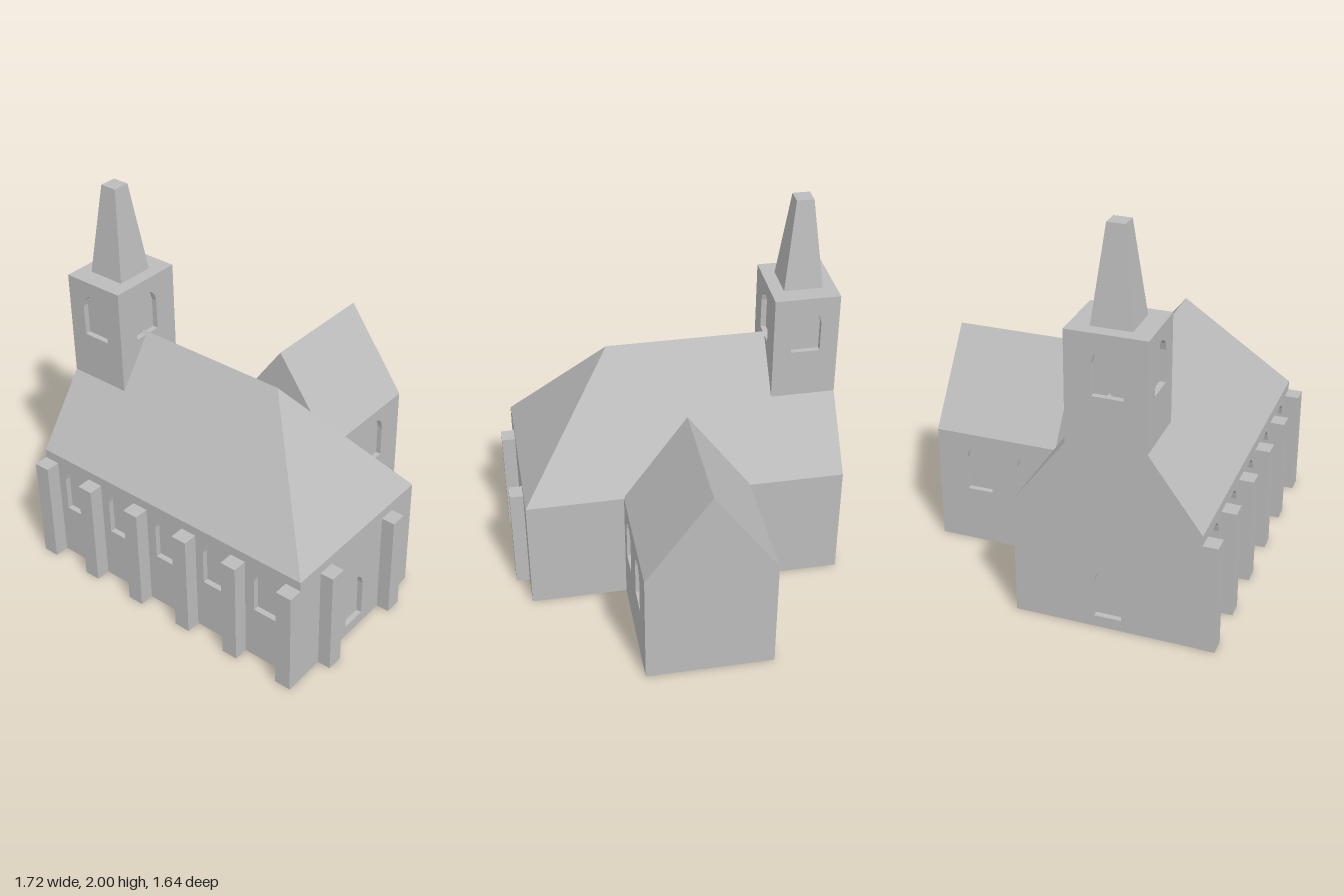
import * as THREE from 'three';

const stone = new THREE.MeshStandardMaterial({ color: 0xbcbcbc });
stone.name = 'grey stone';

const RECESS = 0.03;
// Nave, wing and tower extents
const N = { x0: -0.86, x1: 0.79, z0: -0.18, z1: 0.745, ridgeZ: 0.29, hipX: 0.3, ridge: 1.245 };
const W = { x0: -0.365, x1: 0.29, z0: -0.82, z1: -0.17, ridgeX: -0.037, ridge: 1.08 };
const T = { x0: -0.86, x1: -0.525, z0: 0.085, z1: 0.48, y0: 0.96, y1: 1.535 };
const EAVE = 0.62;

// Round-headed opening: centre u, sill, top, width
function archPoints([u, sill, top, w]) {
  const pts = [new THREE.Vector2(u - w / 2, sill), new THREE.Vector2(u + w / 2, sill)];
  const rise = 0.075;
  for (let i = 0; i <= 6; i++) {
    const a = (Math.PI * i) / 6;
    pts.push(new THREE.Vector2(u + (Math.cos(a) * w) / 2, top - rise + Math.sin(a) * rise));
  }
  return pts;
}

// Wall slab with recessed openings; its outer face lies on the local z = 0 plane
function wall(name, outline, openings, angle, x, z) {
  const group = new THREE.Group();
  group.name = name;
  const shape = new THREE.Shape(outline.map(([u, y]) => new THREE.Vector2(u, y)));
  for (const o of openings) shape.holes.push(new THREE.Path(archPoints(o)));
  const geometry = new THREE.ExtrudeGeometry(shape, { depth: RECESS, bevelEnabled: false });
  geometry.translate(0, 0, -RECESS);
  const slab = new THREE.Mesh(geometry, stone);
  slab.name = name + 'Slab';
  group.add(slab);
  for (const o of openings) {
    const pane = new THREE.Mesh(new THREE.ShapeGeometry(new THREE.Shape(archPoints(o))), stone);
    pane.name = 'openingPanel';
    pane.position.z = -RECESS + 0.001;
    group.add(pane);
  }
  group.rotation.y = angle;
  group.position.set(x, 0, z);
  return group;
}

// Flat faces from convex corner loops, counter-clockwise seen from outside
function faces(name, loops) {
  const pos = [];
  for (const l of loops)
    for (let i = 1; i < l.length - 1; i++) pos.push(...l[0], ...l[i], ...l[i + 1]);
  const g = new THREE.BufferGeometry();
  g.setAttribute('position', new THREE.Float32BufferAttribute(pos, 3));
  g.computeVertexNormals();
  const m = new THREE.Mesh(g, stone);
  m.name = name;
  return m;
}

function box(name, x0, x1, y0, y1, z0, z1) {
  const m = new THREE.Mesh(new THREE.BoxGeometry(x1 - x0, y1 - y0, z1 - z0), stone);
  m.name = name;
  m.position.set((x0 + x1) / 2, (y0 + y1) / 2, (z0 + z1) / 2);
  return m;
}

const rect = (a, b, y0, y1) => [[a, y0], [b, y0], [b, y1], [a, y1]];
const floor = (name, b) => faces(name, [[[b.x0, 0, b.z0], [b.x1, 0, b.z0], [b.x1, 0, b.z1], [b.x0, 0, b.z1]]]);
const EAST = Math.PI / 2, WEST = -Math.PI / 2, BACK = Math.PI;

function createNave() {
  const g = new THREE.Group();
  g.name = 'nave';
  const windows = [-0.66, -0.352, -0.037, 0.272, 0.588].map((x) => [x, 0.3, 0.56, 0.14]);
  const door = (u) => [u, 0.06, 0.33, 0.135];
  g.add(wall('frontWall', rect(N.x0, N.x1, 0, EAVE), windows, 0, 0, N.z1));
  g.add(wall('backWall', rect(-N.x1, -N.x0, 0, EAVE), [], BACK, 0, N.z0));
  g.add(wall('eastWall', rect(-N.z1, -N.z0, 0, EAVE), [door(-0.295)], EAST, N.x1, 0));

  // West gable rises straight into the tower face
  const slopeY = (z) => {
    const edge = z > N.ridgeZ ? N.z1 : N.z0;
    return EAVE + ((N.ridge - EAVE) * (z - edge)) / (N.ridgeZ - edge);
  };
  g.add(wall('westGable', [
    [N.z0, 0], [N.z1, 0], [N.z1, EAVE], [T.z1, slopeY(T.z1)], [T.z1, T.y1],
    [T.z0, T.y1], [T.z0, slopeY(T.z0)], [N.z0, EAVE],
  ], [door(0.29), [0.29, 1.23, 1.465, 0.15]], WEST, N.x0, 0));

  // Roof with a hipped east end
  const r0 = [N.x0, N.ridge, N.ridgeZ], r1 = [N.hipX, N.ridge, N.ridgeZ];
  const fw = [N.x0, EAVE, N.z1], fe = [N.x1, EAVE, N.z1];
  const bw = [N.x0, EAVE, N.z0], be = [N.x1, EAVE, N.z0];
  g.add(faces('naveRoof', [[fw, fe, r1, r0], [be, bw, r0, r1], [fe, be, r1]]));
  g.add(floor('naveFloor', N));
  return g;
}

function createButtresses() {
  const g = new THREE.Group();
  g.name = 'buttresses';
  for (const x of [-0.82, -0.513, -0.203, 0.113, 0.42, 0.748])
    g.add(box('frontButtress', x - 0.043, x + 0.043, 0, 0.57, N.z1 - 0.01, 0.82));
  for (const z of [0.04, 0.547])
    g.add(box('eastButtress', N.x1 - 0.01, 0.86, 0, 0.57, z - 0.043, z + 0.043));
  return g;
}

function createTower() {
  const g = new THREE.Group();
  g.name = 'tower';
  const opening = (u) => [[u, 1.23, 1.465, 0.15]];
  const cx = (T.x0 + T.x1) / 2;
  g.add(wall('towerFront', rect(T.x0, T.x1, T.y0, T.y1), opening(cx), 0, 0, T.z1));
  g.add(wall('towerBack', rect(-T.x1, -T.x0, T.y0, T.y1), opening(-cx), BACK, 0, T.z0));
  g.add(wall('towerEast', rect(-T.z1, -T.z0, T.y0, T.y1), opening(-0.29), EAST, T.x1, 0));
  g.add(box('towerCap', T.x0, T.x1, T.y1 - 0.02, T.y1, T.z0, T.z1));

  // Blunt four-sided spire
  const spireGeo = new THREE.CylinderGeometry(0.044 * Math.SQRT2, 0.1 * Math.SQRT2, 2 - T.y1, 4)
    .rotateY(Math.PI / 4).toNonIndexed();
  spireGeo.computeVertexNormals();
  const spire = new THREE.Mesh(spireGeo, stone);
  spire.name = 'spire';
  spire.position.set(cx, (2 + T.y1) / 2, 0.285);
  g.add(spire);
  return g;
}

function createWing() {
  const g = new THREE.Group();
  g.name = 'rearWing';
  const gable = (a, b, r) => [[a, 0], [b, 0], [b, EAVE], [r, W.ridge], [a, EAVE]];
  const windows = (s) => [-0.315, -0.595].map((z) => [s * z, 0.3, 0.555, 0.135]);
  g.add(wall('wingBackGable', gable(-W.x1, -W.x0, -W.ridgeX), [], BACK, 0, W.z0));
  g.add(wall('wingFrontGable', gable(W.x0, W.x1, W.ridgeX), [], 0, 0, W.z1));
  g.add(wall('wingEastWall', rect(-W.z1, -W.z0, 0, EAVE), windows(-1), EAST, W.x1, 0));
  g.add(wall('wingWestWall', rect(W.z0, W.z1, 0, EAVE), windows(1), WEST, W.x0, 0));
  const rf = [W.ridgeX, W.ridge, W.z1], rb = [W.ridgeX, W.ridge, W.z0];
  g.add(faces('wingRoof', [
    [[W.x1, EAVE, W.z1], [W.x1, EAVE, W.z0], rb, rf],
    [[W.x0, EAVE, W.z0], [W.x0, EAVE, W.z1], rf, rb],
  ]));
  g.add(floor('wingFloor', W));
  return g;
}

export function createModel() {
  const model = new THREE.Group();
  model.name = 'church';
  model.add(createNave(), createButtresses(), createTower(), createWing());
  return model;
}
